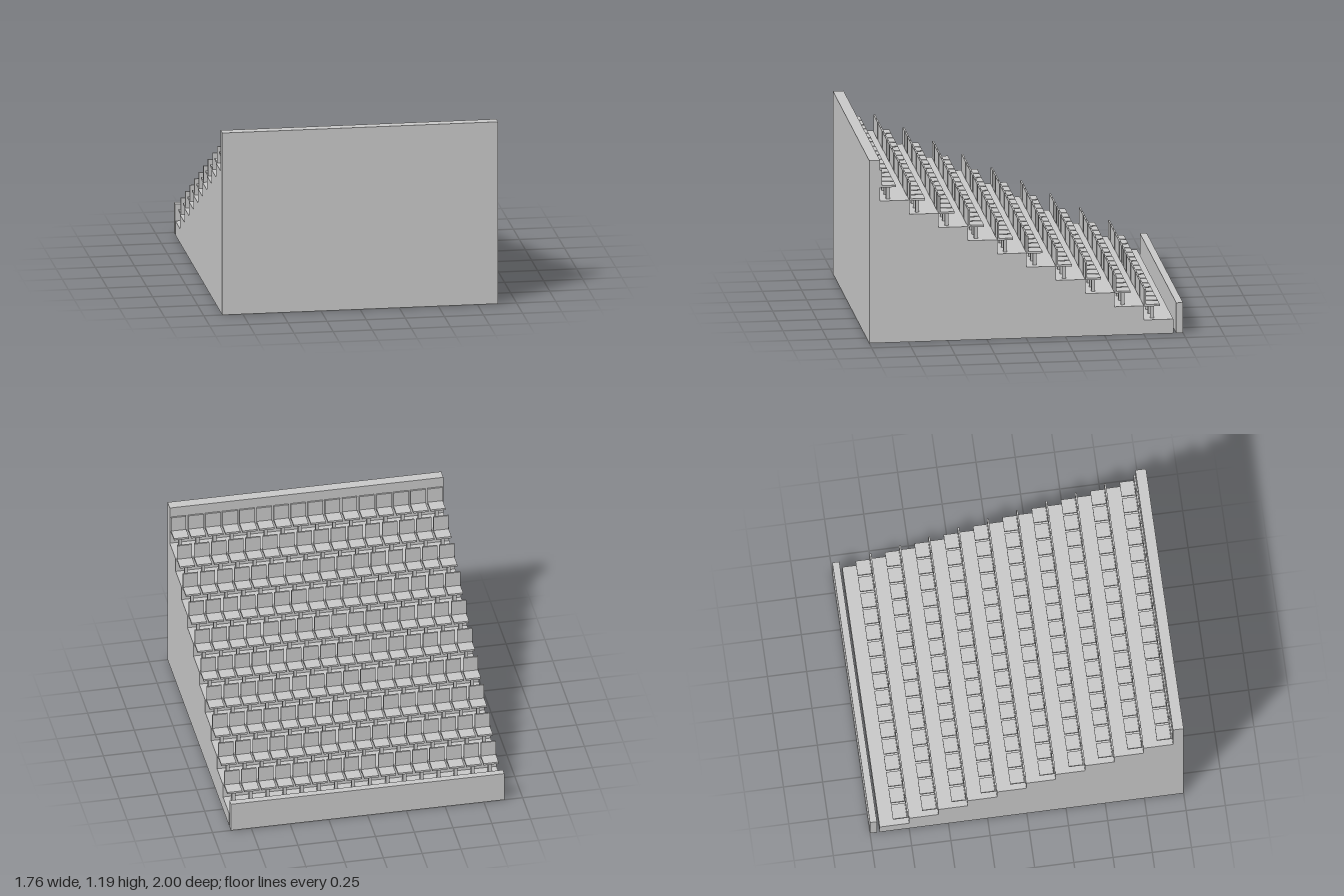
import * as THREE from 'three';

const WIDTH = 1.764, ROWS = 10, SEATS = 16;
const RISE = 0.0926, DEPTH = 0.187, Z0 = -0.938;

export function createModel() {
  const group = new THREE.Group();
  const concrete = new THREE.MeshStandardMaterial({ color: 0xc8c8c8 });
  concrete.name = 'light grey';

  const add = (parent, name, geometry, x, y, z) => {
    const mesh = new THREE.Mesh(geometry, concrete);
    mesh.name = name;
    mesh.position.set(x, y, z);
    parent.add(mesh);
  };

  // Stepped tiers with the tall wall behind the top row, as one side profile
  const profile = new THREE.Shape();
  profile.moveTo(Z0, 0);
  for (let r = 0; r < ROWS; r++) {
    profile.lineTo(Z0 + r * DEPTH, (r + 1) * RISE);
    profile.lineTo(Z0 + (r + 1) * DEPTH, (r + 1) * RISE);
  }
  profile.lineTo(Z0 + ROWS * DEPTH, 1.192);
  profile.lineTo(1, 1.192);
  profile.lineTo(1, 0);
  profile.closePath();
  const tiers = new THREE.ExtrudeGeometry(profile, { depth: WIDTH, bevelEnabled: false });
  tiers.rotateY(-Math.PI / 2);
  add(group, 'steppedTiers', tiers, WIDTH / 2, 0, 0);

  // Low barrier in front of the first row
  add(group, 'barrier', new THREE.BoxGeometry(WIDTH, 0.198, 0.044), 0, 0.099, -0.978);

  // Seats: post, pan and backrest, repeated over every tier
  const post = new THREE.BoxGeometry(0.022, 0.087, 0.023);
  const pan = new THREE.BoxGeometry(0.097, 0.013, 0.096);
  const back = new THREE.BoxGeometry(0.097, 0.113, 0.011);
  const pitch = WIDTH / SEATS;
  for (let r = 0; r < ROWS; r++) {
    const row = new THREE.Group();
    row.name = 'seatRow' + (r + 1);
    row.position.set(0, (r + 1) * RISE, Z0 + (r + 1) * DEPTH);
    for (let s = 0; s < SEATS; s++) {
      const x = (s - (SEATS - 1) / 2) * pitch;
      add(row, 'seatPost', post, x, 0.0435, -0.057);
      add(row, 'seatPan', pan, x, 0.0925, -0.054);
      add(row, 'seatBack', back, x, 0.1425, -0.0075);
    }
    group.add(row);
  }
  return group;
}
